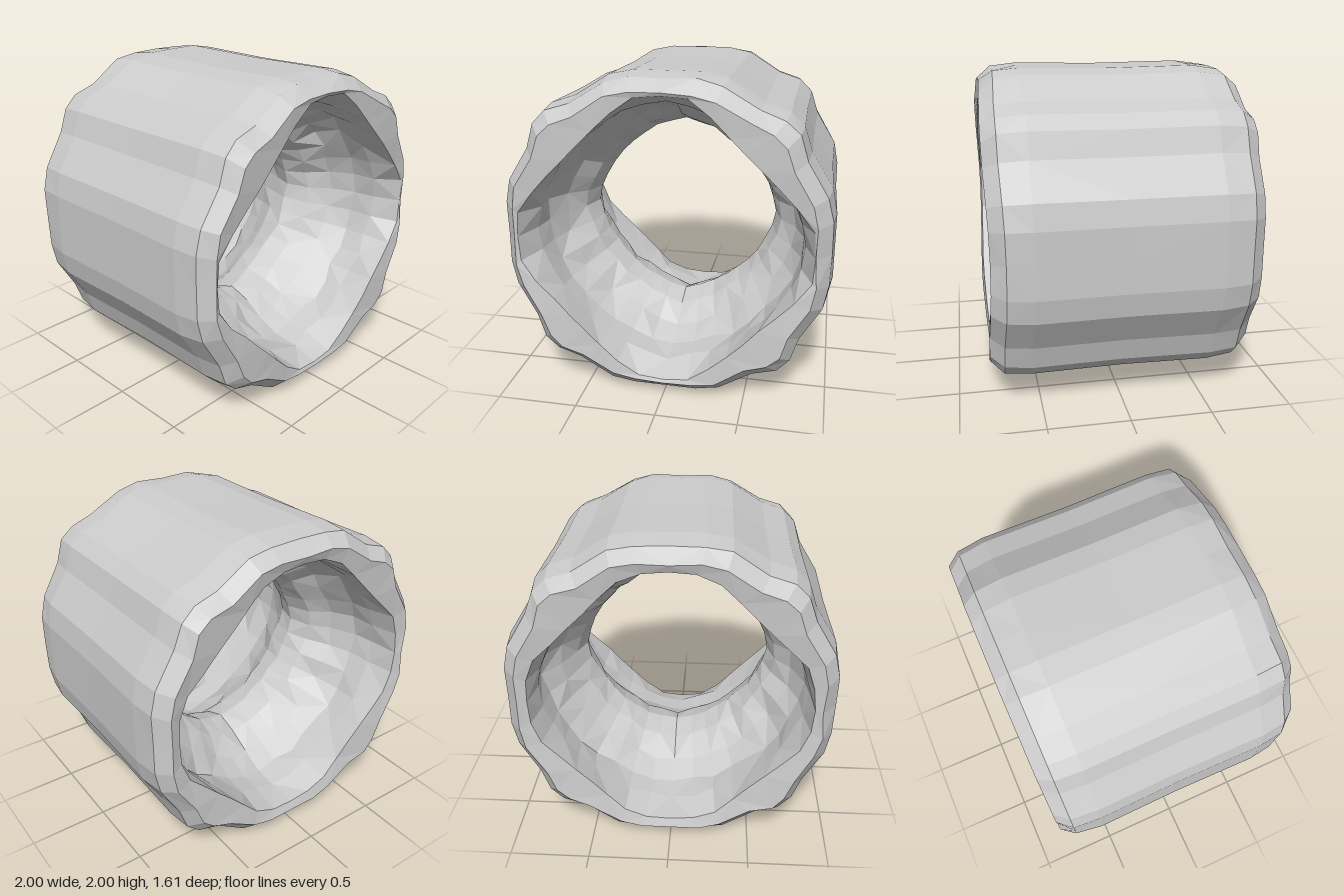
import * as THREE from 'three';

// One quadrant of the scalloped outer outline, starting on the +x axis
const QUADRANT = [
  [1, 0], [1, 0.2], [0.97, 0.35], [0.84, 0.56], [0.79, 0.71],
  [0.71, 0.79], [0.56, 0.84], [0.35, 0.97], [0.2, 1],
];

// Outer wall rows: z, scale of the outline, roughness
const OUTER = [[0.805, 0.905, 0.01], [0.72, 0.98, 0.006], [0.55, 1, 0], [0, 0.992, 0]];

// Bore rows from the lip to the throat: z, radius on the axes, radius on the diagonals, roughness
const BORE = [
  [0.6, 0.835, 0.78, 0.01], [0.45, 0.825, 0.785, 0.015], [0.29, 0.755, 0.705, 0.02],
  [0.15, 0.66, 0.605, 0.012], [0, 0.612, 0.565, 0.004],
];

// Small repeatable noise in -1..1
function noise(a, b) {
  const s = Math.sin(a * 12.9898 + b * 78.233) * 43758.5453;
  return 2 * (s - Math.floor(s)) - 1;
}

// Mirror rows that run from the front to z = 0 so they continue to the back
function mirrored(rows) {
  const back = rows.slice(0, -1).reverse().map(([z, ...rest]) => [-z, ...rest]);
  return [...rows, ...back];
}

// The front end is slightly sunk at the four axis points
function frontDip(angle, z) {
  return z > 0.7 ? 0.02 * Math.cos(2 * angle) ** 2 : 0;
}

function createSleeveGeometry() {
  // Full outline: the quadrant turned four times
  const outline = [];
  for (let q = 0; q < 4; q++) {
    for (const [x, y] of QUADRANT) {
      outline.push(new THREE.Vector2(x, y).rotateAround(new THREE.Vector2(), q * Math.PI / 2));
    }
  }
  const n = outline.length;
  const positions = [];

  // Outer wall, front to back
  const outer = mirrored(OUTER);
  outer.forEach(([z, scale, rough], i) => {
    outline.forEach((p, j) => {
      const s = scale + rough * noise(i, j);
      positions.push(p.x * s, p.y * s + 1, z - frontDip(p.angle(), z));
    });
  });

  // Ring of evenly spaced points, radius and z given by rules
  const addRing = (radius, depth) => {
    for (let j = 0; j < n; j++) {
      const a = j / n * Math.PI * 2;
      const r = radius(a, j);
      positions.push(Math.cos(a) * r, Math.sin(a) * r + 1, depth(a, j));
    }
  };

  // Lip of a mouth: a diamond with its four points cut off
  const addLip = (z, pointRadius) => addRing(
    (a, j) => Math.min(pointRadius, 1.075 / (Math.abs(Math.cos(a)) + Math.abs(Math.sin(a)))) + 0.005 * noise(j, z),
    (a) => z - frontDip(a, z),
  );

  // Rough bore, back to front, with a narrow throat halfway
  const bore = mirrored(BORE).reverse();
  addLip(-0.785, 0.855);
  bore.forEach(([z, onAxis, onDiagonal, rough], i) => addRing(
    (a, j) => THREE.MathUtils.lerp(onAxis, onDiagonal, Math.abs(Math.sin(2 * a))) + rough * noise(i, j),
    (a, j) => z + 0.02 * noise(j, i + 50),
  ));
  addLip(0.795, 0.895);

  // Rows close into a loop, so the end rims are included
  const rows = outer.length + bore.length + 2;
  const index = [];
  for (let i = 0; i < rows; i++) {
    for (let j = 0; j < n; j++) {
      const i2 = (i + 1) % rows, j2 = (j + 1) % n;
      const a = i * n + j, b = i2 * n + j, c = i2 * n + j2, d = i * n + j2;
      if ((i + j) % 2) index.push(a, b, c, a, c, d);
      else index.push(a, b, d, b, c, d);
    }
  }

  const geometry = new THREE.BufferGeometry();
  geometry.setAttribute('position', new THREE.Float32BufferAttribute(positions, 3));
  geometry.setIndex(index);
  geometry.computeVertexNormals();
  return geometry;
}

export function createModel() {
  const group = new THREE.Group();
  group.name = 'hollowSleeve';
  const material = new THREE.MeshStandardMaterial({ color: 0xcccccc, flatShading: true });
  const sleeve = new THREE.Mesh(createSleeveGeometry(), material);
  sleeve.name = 'sleeve';
  group.add(sleeve);
  return group;
}
